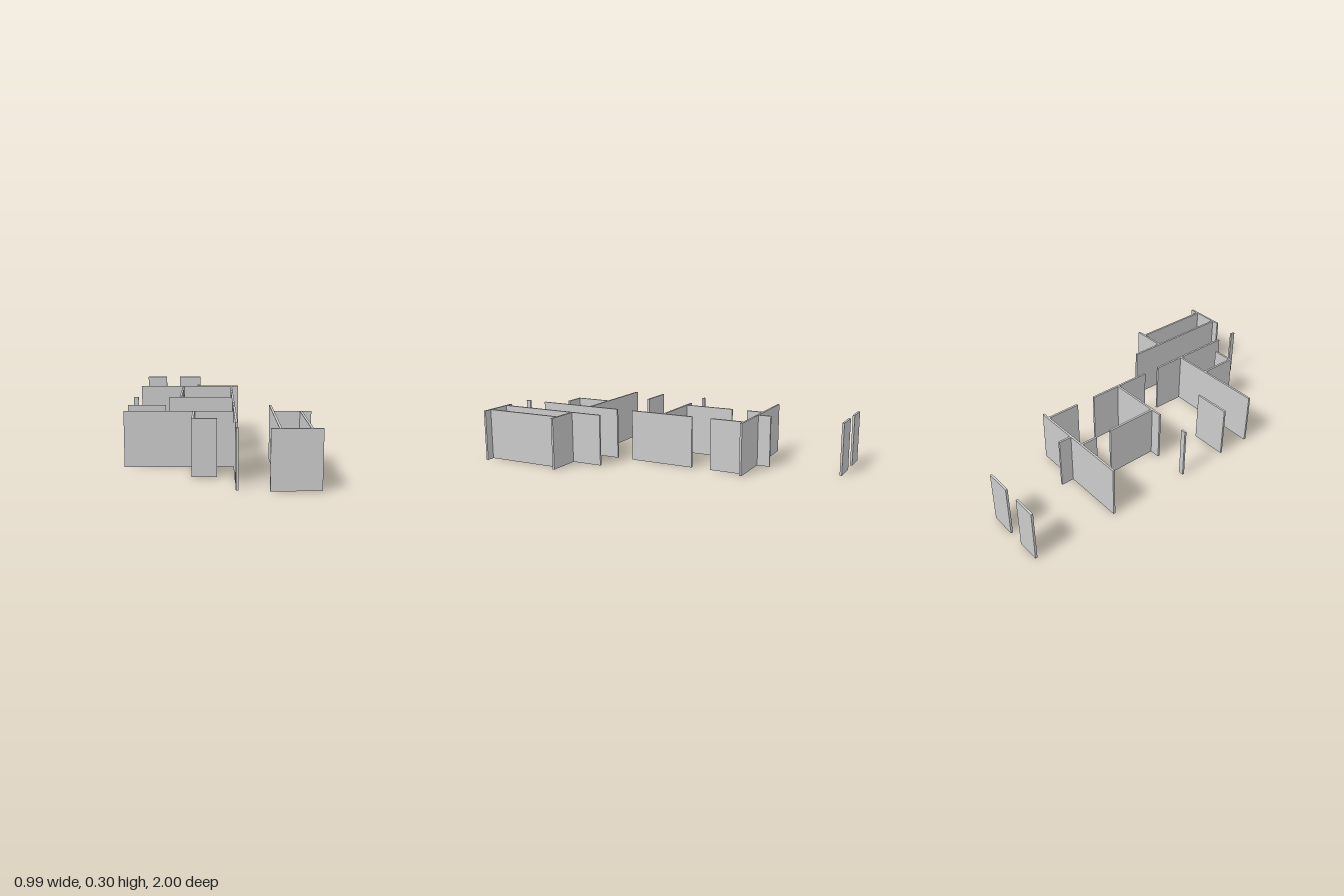
import * as THREE from 'three';

const HEIGHT = 0.3;
const THICK = 0.012;

// Walls running along x: [name, z, xStart, xEnd]
const crossWalls = [
  ['backWallRight', -0.994, -0.494, -0.361],
  ['backWallLeft', -0.994, -0.268, -0.12],
  ['rearRoomWall', -0.495, -0.494, 0.138],
  ['middleWallStub', 0.006, -0.494, -0.465],
  ['middleWall', 0.006, -0.284, 0.09],
  ['sidePartition', 0.31, -0.494, -0.284],
  ['frontRoomWall', 0.511, -0.494, 0.09],
  ['closetFrontWall', 0.731, -0.13, -0.002],
  ['annexBackWall', 0.511, 0.292, 0.493],
  ['annexFrontWall', 0.994, 0.246, 0.493],
];

// Walls running along z: [name, x, zStart, zEnd]
const lengthWalls = [
  ['rearStubWall', -0.125, -0.576, -0.495],
  ['rearPartitionStub', -0.217, -0.495, -0.395],
  ['rearHallWall', 0.091, -0.495, -0.294],
  ['middlePartition', -0.217, -0.3, 0.006],
  ['middleHallWall', 0.091, -0.178, 0.214],
  ['frontHallWall', 0.091, 0.317, 0.848],
  ['frontHallPost', 0.091, 0.96, 0.988],
  ['closetSideWall', -0.125, 0.511, 0.737],
  ['annexInnerWall', 0.292, 0.317, 0.994],
  ['annexOuterWall', 0.439, 0.511, 0.994],
];

export function createModel() {
  const model = new THREE.Group();
  model.name = 'floorPlanWalls';
  const material = new THREE.MeshStandardMaterial({ color: 0xcccccc });

  // One upright wall panel standing on the ground
  function addWall(name, x, z, width, depth) {
    const wall = new THREE.Mesh(new THREE.BoxGeometry(width, HEIGHT, depth), material);
    wall.name = name;
    wall.position.set(x, HEIGHT / 2, z);
    model.add(wall);
  }

  for (const [name, z, a, b] of crossWalls) addWall(name, (a + b) / 2, z, b - a, THICK);
  for (const [name, x, a, b] of lengthWalls) addWall(name, x, (a + b) / 2, THICK, b - a);

  return model;
}
